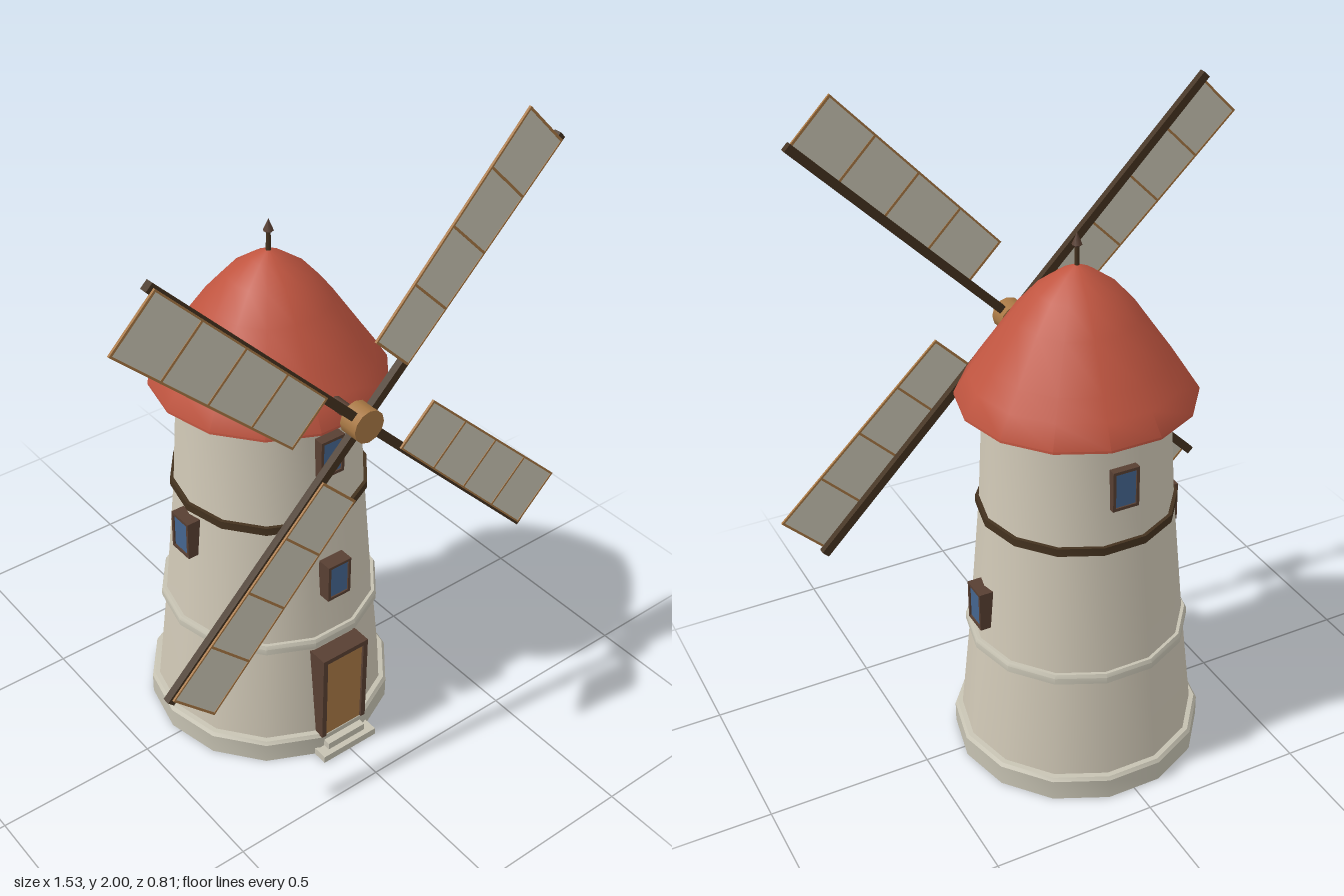
import * as THREE from 'three';
import { toCreasedNormals } from 'three/addons/utils/BufferGeometryUtils.js';

const SIDES = 14;
const AXIS_Z = -0.035;
const HUB_Y = 1.235;

export function createModel() {
  const mat = (name, color, side = THREE.FrontSide) => {
    const m = new THREE.MeshStandardMaterial({ color, side });
    m.name = name;
    return m;
  };
  const plaster = mat('plaster', 0xd0c8b6, THREE.DoubleSide);
  const stone = mat('stone', 0xc6c2b2);
  const tile = mat('roof tile', 0xc05540, THREE.DoubleSide);
  const frameWood = mat('frame wood', 0x583f32);
  const darkWood = mat('dark wood', 0x44321f);
  const wood = mat('wood', 0xa87844);
  const glass = mat('glass', 0x44658f);
  const cloth = mat('sailcloth', 0xcac6b4);

  const model = new THREE.Group();
  model.name = 'windmill';

  const add = (parent, name, geometry, material, x = 0, y = 0, z = 0) => {
    const mesh = new THREE.Mesh(geometry, material);
    mesh.name = name;
    mesh.position.set(x, y, z);
    parent.add(mesh);
    return mesh;
  };
  const box = (parent, name, material, w, h, d, x, y, z) =>
    add(parent, name, new THREE.BoxGeometry(w, h, d), material, x, y, z);

  // Turned parts share the tower axis, with a corner on each side and a flat at the front
  const turned = (name, material, profile) => {
    const points = profile.map(([r, y]) => new THREE.Vector2(r, y));
    const lathe = new THREE.LatheGeometry(points, SIDES, Math.PI / SIDES);
    return add(model, name, toCreasedNormals(lathe, 0.6), material, 0, 0, AXIS_Z);
  };
  const band = (name, material, inner, outer, y0, y1) =>
    turned(name, material, [[inner, y0], [outer, y0], [outer, y1], [inner, y1]]);

  // Tower
  turned('base', stone, [[0.35, 0], [0.38, 0], [0.38, 0.065], [0.372, 0.075], [0.35, 0.077]]);
  turned('towerWall', plaster, [[0.362, 0], [0.357, 0.075], [0.322, 0.41], [0.285, 0.83], [0.266, 1.18]]);
  turned('stoneBand', stone, [[0.315, 0.4], [0.336, 0.4], [0.336, 0.42], [0.33, 0.43], [0.315, 0.43]]);
  band('timberBand', darkWood, 0.275, 0.295, 0.82, 0.845);

  // Roof
  band('eaveRing', darkWood, 0.255, 0.3, 1.165, 1.183);
  turned('soffit', darkWood, [[0.25, 1.181], [0.342, 1.181]]);
  turned('roof', tile, [[0.345, 1.181], [0.345, 1.188], [0.305, 1.25], [0.265, 1.307],
    [0.18, 1.43], [0.115, 1.503], [0.05, 1.55], [0, 1.575]]);
  add(model, 'finialRod', new THREE.CylinderGeometry(0.006, 0.008, 0.08, 8), darkWood, 0, 1.595, AXIS_Z);
  add(model, 'finialTip', new THREE.ConeGeometry(0.015, 0.035, 8), frameWood, 0, 1.648, AXIS_Z);
  add(model, 'finialCollar', new THREE.ConeGeometry(0.015, 0.012, 8), frameWood, 0, 1.6245, AXIS_Z)
    .rotation.x = Math.PI;

  // Windows: a frame with a hole and a pane, facing outward at the given angle
  const rect = (Type, w, h) => new Type().moveTo(-w / 2, -h / 2).lineTo(w / 2, -h / 2)
    .lineTo(w / 2, h / 2).lineTo(-w / 2, h / 2).closePath();
  const frameShape = rect(THREE.Shape, 0.082, 0.125);
  frameShape.holes.push(rect(THREE.Path, 0.064, 0.107));
  const frameGeometry = new THREE.ExtrudeGeometry(frameShape, { depth: 0.045, bevelEnabled: false });

  const addWindow = (name, angle, y, reach) => {
    const group = new THREE.Group();
    group.name = name;
    group.position.set(Math.sin(angle) * reach, y, AXIS_Z + Math.cos(angle) * reach);
    group.rotation.y = angle;
    add(group, 'windowFrame', frameGeometry, frameWood, 0, 0, -0.045);
    box(group, 'windowPane', glass, 0.066, 0.109, 0.035, 0, 0, -0.022);
    model.add(group);
  };
  addWindow('frontLowerWindow', 0, 0.635, 0.338);
  addWindow('frontUpperWindow', 0, 1.05, 0.294);
  addWindow('leftWindow', Math.PI / 2, 0.553, 0.338);
  addWindow('rightWindow', -Math.PI / 2, 0.74, 0.322);
  addWindow('backWindow', Math.PI, 1.018, 0.288);

  // Door and steps
  for (const s of [-1, 1]) box(model, 'doorPost', frameWood, 0.016, 0.31, 0.085, s * 0.076, 0.225, 0.3);
  box(model, 'doorLintel', frameWood, 0.168, 0.016, 0.085, 0, 0.376, 0.3);
  box(model, 'door', wood, 0.138, 0.3, 0.07, 0, 0.219, 0.3);
  box(model, 'lowerStep', stone, 0.2, 0.024, 0.06, 0, 0.012, 0.346);
  box(model, 'upperStep', stone, 0.14, 0.024, 0.04, 0, 0.036, 0.338);

  // Hub and shaft
  const rotor = new THREE.Group();
  rotor.name = 'rotor';
  rotor.position.y = HUB_Y;
  model.add(rotor);
  const alongZ = (name, r, sides, z0, z1, material) => {
    const geometry = new THREE.CylinderGeometry(r, r, z1 - z0, sides).rotateX(Math.PI / 2);
    add(rotor, name, geometry, material, 0, 0, (z0 + z1) / 2);
  };
  alongZ('shaft', 0.02, 10, 0.1, 0.36, frameWood);
  alongZ('hub', 0.05, 12, 0.343, 0.405, wood);

  // Sails: x runs along the spar, y across the cloth, which widens to the tip
  const IN = 0.19, OUT = 0.9, FLOOR = -0.005;
  const width = (x) => THREE.MathUtils.lerp(0.155, 0.179, (x - IN) / (OUT - IN));
  const clothShape = new THREE.Shape().moveTo(IN, FLOOR).lineTo(OUT, FLOOR)
    .lineTo(OUT, width(OUT)).lineTo(IN, width(IN)).closePath();
  const clothGeometry = new THREE.ExtrudeGeometry(clothShape, { depth: 0.004, bevelEnabled: false });
  const edgeLength = Math.hypot(OUT - IN, width(OUT) - width(IN));

  for (let i = 0; i < 4; i++) {
    const sail = new THREE.Group();
    sail.name = 'sail';
    sail.rotation.z = Math.PI / 4 + i * Math.PI / 2;
    rotor.add(sail);
    box(sail, 'spar', darkWood, 0.912, 0.026, 0.022, 0.456, 0, 0.373);
    add(sail, 'sailCloth', clothGeometry, cloth, 0, 0, 0.3845);
    for (let k = 0; k <= 4; k++) {
      const x = THREE.MathUtils.lerp(IN + 0.003, OUT - 0.003, k / 4);
      box(sail, 'sailBar', wood, 0.007, width(x) - FLOOR, 0.007, x, (width(x) + FLOOR) / 2, 0.3865);
    }
    const edge = box(sail, 'sailEdge', wood, edgeLength, 0.006, 0.007,
      (IN + OUT) / 2, (width(IN) + width(OUT)) / 2 - 0.003, 0.3865);
    edge.rotation.z = Math.atan2(width(OUT) - width(IN), OUT - IN);
    box(sail, 'sailInnerEdge', wood, OUT - IN, 0.005, 0.007, (IN + OUT) / 2, FLOOR + 0.002, 0.3865);
  }

  return model;
}
